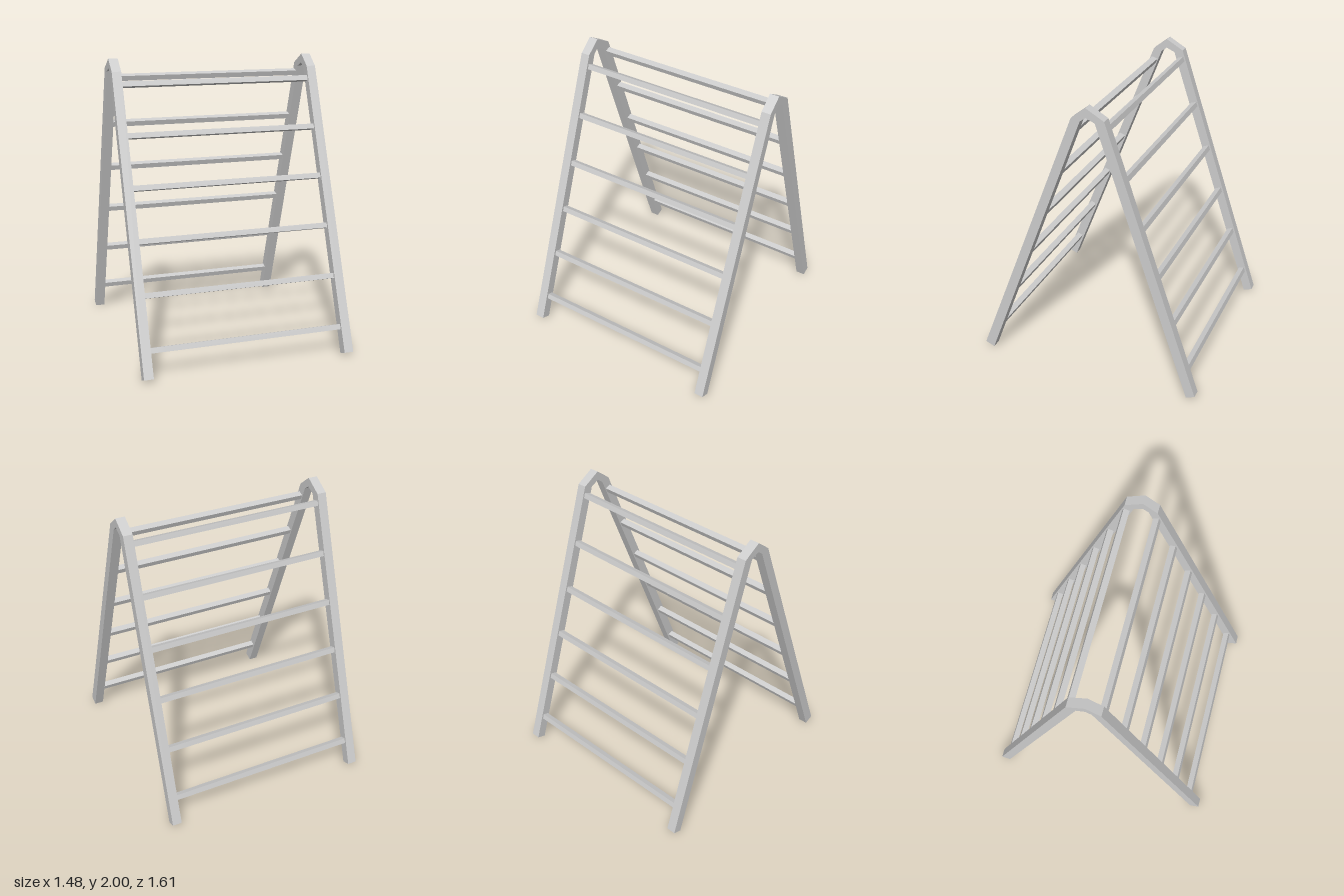
import * as THREE from 'three';

const material = new THREE.MeshStandardMaterial({ color: 0xcccccc, flatShading: true });
const RAIL_X = 0.7075, RAIL_WIDTH = 0.065, RUNGS = 6;

// A-shaped side frame: outline in (z, y), extruded across x
function frameGeometry() {
  const outline = [
    [0.74, 0], [0.805, 0.027], [0.06, 1.92], [-0.04, 2], [-0.163, 1.93],
    [-0.805, 0.022], [-0.743, 0], [-0.1, 1.91], [-0.04, 1.936], [0, 1.906],
  ];
  const shape = new THREE.Shape(outline.map(([z, y]) => new THREE.Vector2(z, y)));
  const geometry = new THREE.ExtrudeGeometry(shape, { depth: RAIL_WIDTH, bevelEnabled: false });
  geometry.translate(0, 0, -RAIL_WIDTH / 2);
  geometry.rotateY(-Math.PI / 2);
  return geometry;
}

// Row of rungs between two (y, z) points, each tilted to match its leg
function addRungs(group, name, bottom, top) {
  const geometry = new THREE.BoxGeometry(2 * RAIL_X - RAIL_WIDTH, 0.036, 0.042);
  const tilt = Math.atan2(top[1] - bottom[1], top[0] - bottom[0]);
  for (let i = 0; i < RUNGS; i++) {
    const t = i / (RUNGS - 1);
    const rung = new THREE.Mesh(geometry, material);
    rung.name = name + (i + 1);
    rung.position.set(
      0,
      THREE.MathUtils.lerp(bottom[0], top[0], t),
      THREE.MathUtils.lerp(bottom[1], top[1], t),
    );
    rung.rotation.x = tilt;
    group.add(rung);
  }
}

export function createModel() {
  const model = new THREE.Group();
  model.name = 'climbingFrame';

  const frame = frameGeometry();
  for (const [name, side] of [['leftFrame', 1], ['rightFrame', -1]]) {
    const mesh = new THREE.Mesh(frame, material);
    mesh.name = name;
    mesh.position.x = side * RAIL_X;
    model.add(mesh);
  }

  addRungs(model, 'frontRung', [0.182, 0.706], [1.832, 0.058]);
  addRungs(model, 'backRung', [0.186, -0.715], [1.86, -0.154]);
  return model;
}
